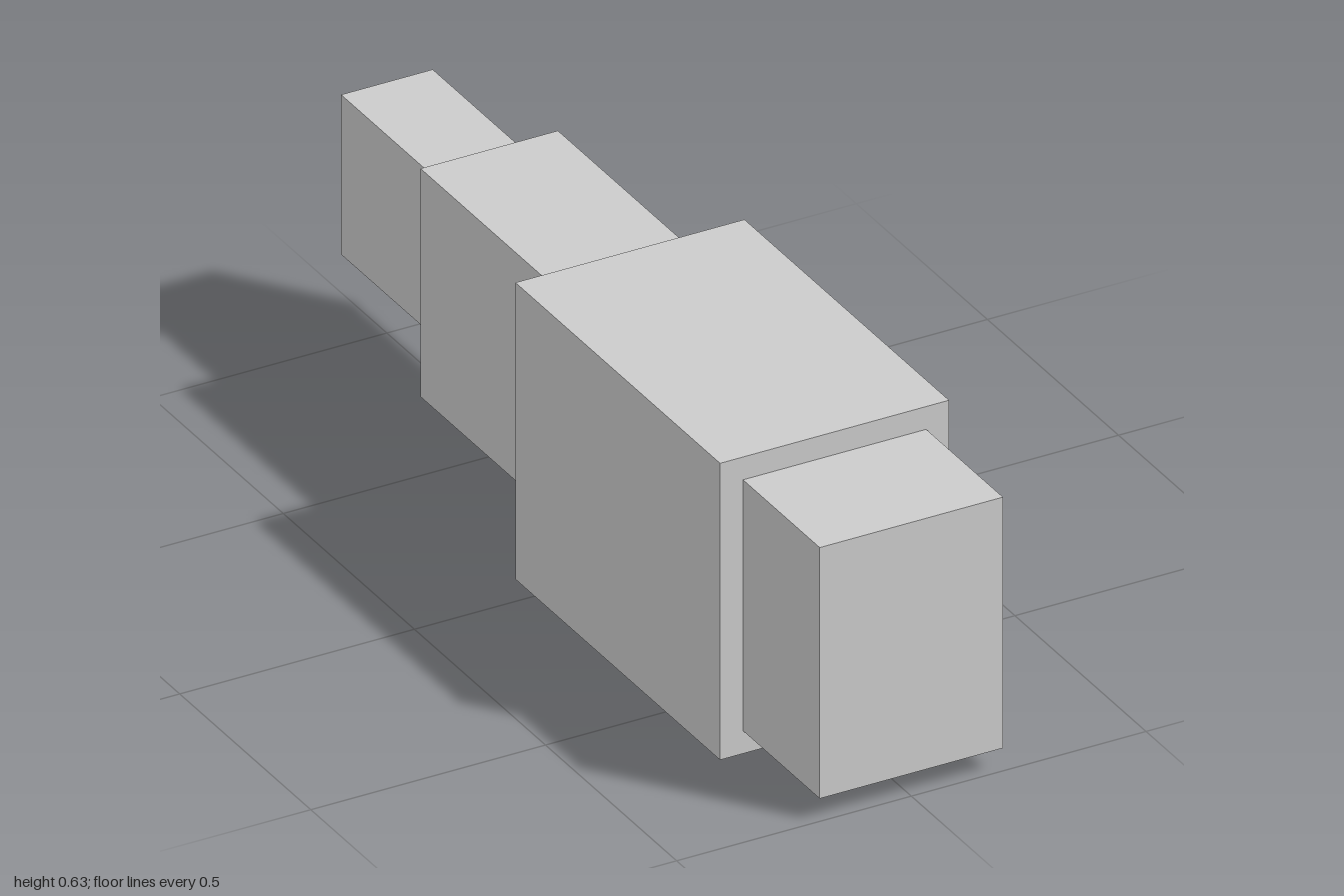
import * as THREE from 'three';

// Body is laid out on a grid: 41 units make up the full length of 2
const UNIT = 2 / 41;

// Each segment: name, width, bottom, top, length (in units), from front to back
const SEGMENTS = [
  ['frontSegment', 8, 1, 12, 6],
  ['mainBody', 10, 0, 13, 16],
  ['rearSegment', 6, 2, 12, 11],
  ['tailTip', 4, 4, 11, 8],
];

export function createModel() {
  const group = new THREE.Group();
  const material = new THREE.MeshStandardMaterial({ color: 0xcccccc, flatShading: true });

  // Chain the boxes end to end along z
  let front = 20.5;
  for (const [name, width, bottom, top, length] of SEGMENTS) {
    const geometry = new THREE.BoxGeometry(width * UNIT, (top - bottom) * UNIT, length * UNIT);
    const mesh = new THREE.Mesh(geometry, material);
    mesh.name = name;
    mesh.position.set(0, ((bottom + top) / 2) * UNIT, (front - length / 2) * UNIT);
    group.add(mesh);
    front -= length;
  }
  return group;
}
